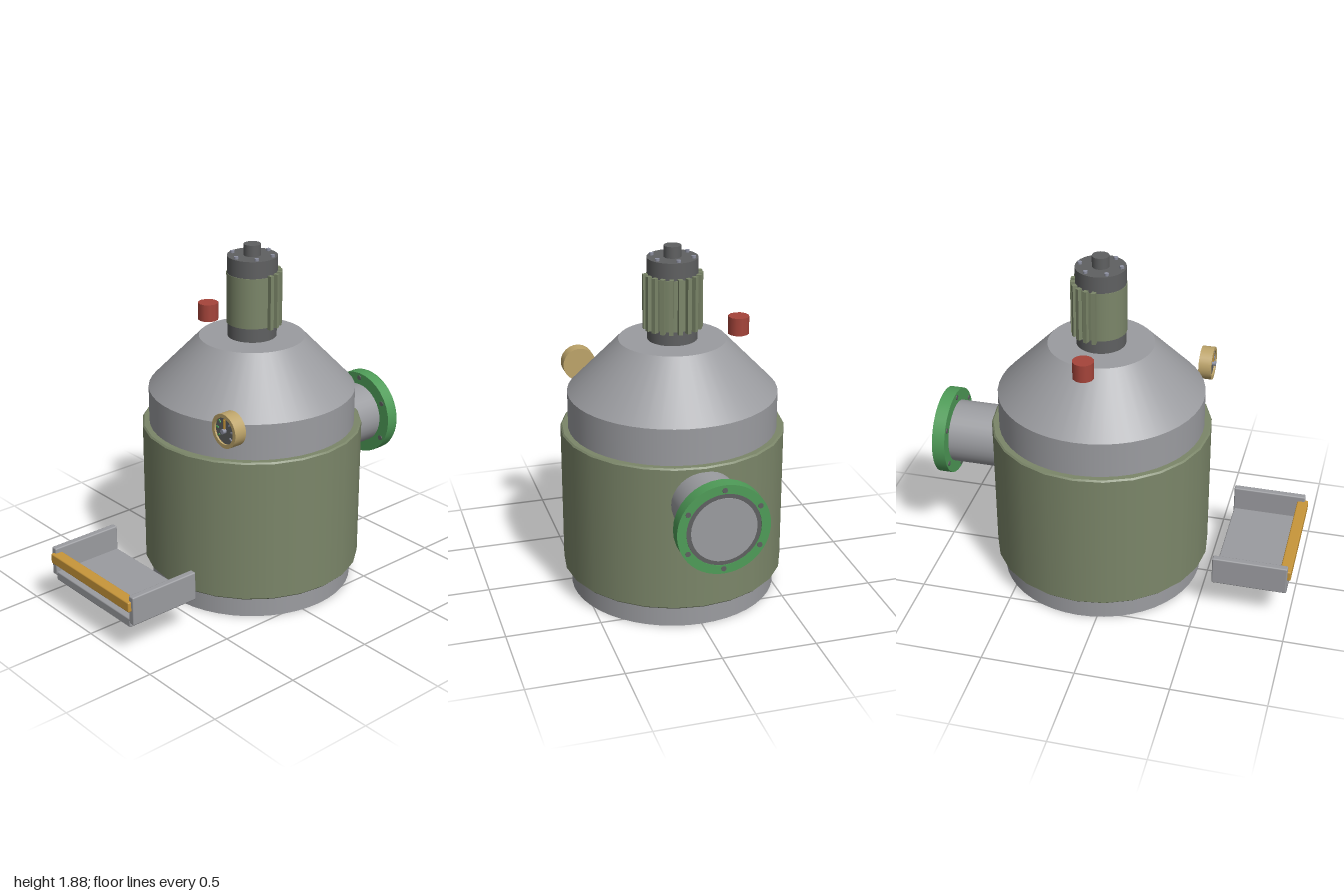
import * as THREE from 'three';
import { RoundedBoxGeometry } from 'three/addons/geometries/RoundedBoxGeometry.js';

const mat = (name, color) => new THREE.MeshStandardMaterial({ name, color });

export function createModel() {
  const steel = mat('steel', 0x9b9ca0);
  const olive = mat('olive', 0x7b8669);
  const dark = mat('darkGrey', 0x5f6061);
  const green = mat('flangeGreen', 0x4f9c58);
  const red = mat('red', 0xa5443a);
  const brass = mat('brass', 0xbda46a);
  const amber = mat('amber', 0xc8963a);
  const pale = mat('boltGrey', 0x8d90a0);

  const model = new THREE.Group();
  model.name = 'processVessel';
  const group = (name, x, y, z) => {
    const g = new THREE.Group();
    g.name = name;
    g.position.set(x, y, z);
    model.add(g);
    return g;
  };
  const add = (parent, name, geo, m, x = 0, y = 0, z = 0) => {
    const mesh = new THREE.Mesh(geo, m);
    mesh.name = name;
    mesh.position.set(x, y, z);
    parent.add(mesh);
    return mesh;
  };
  // upright cylinder between two heights
  const cyl = (parent, name, m, r0, r1, y0, y1, sides = 32) =>
    add(parent, name, new THREE.CylinderGeometry(r1, r0, y1 - y0, sides), m, 0, (y0 + y1) / 2, 0);
  // cylinder along z, centred on its group
  const cylZ = (parent, name, m, r, z0, z1, sides = 32, x = 0, y = 0) =>
    add(parent, name, new THREE.CylinderGeometry(r, r, z1 - z0, sides).rotateX(Math.PI / 2), m, x, y, (z0 + z1) / 2);
  // flat-sided ring with a square section, along z
  const ringZ = (parent, name, m, rIn, rOut, z0, z1, sides = 32) => {
    const shape = new THREE.Shape().absarc(0, 0, rOut, 0, Math.PI * 2);
    shape.holes.push(new THREE.Path().absarc(0, 0, rIn, 0, Math.PI * 2, true));
    const geo = new THREE.ExtrudeGeometry(shape, { depth: z1 - z0, bevelEnabled: false, curveSegments: sides });
    return add(parent, name, geo, m, 0, 0, z0);
  };

  // vessel: shell, sloping shoulder and insulating jacket
  const vessel = group('vessel', 0, 0, -0.105);
  cyl(vessel, 'shell', steel, 0.55, 0.55, 0, 1.105, 48);
  cyl(vessel, 'shoulder', steel, 0.55, 0.28, 1.105, 1.385, 48);
  cyl(vessel, 'jacketBottomEdge', olive, 0.582, 0.59, 0.12, 0.128, 24);
  cyl(vessel, 'jacket', olive, 0.59, 0.59, 0.128, 0.902, 24);
  cyl(vessel, 'jacketTopEdge', olive, 0.59, 0.582, 0.902, 0.91, 24);

  // motor with cooling fins round the rear half
  const motor = group('motor', 0, 0, -0.105);
  cyl(motor, 'motorBase', dark, 0.13, 0.13, 1.38, 1.46);
  cyl(motor, 'motorBody', olive, 0.135, 0.135, 1.46, 1.73);
  cyl(motor, 'motorCap', dark, 0.132, 0.132, 1.73, 1.82);
  cyl(motor, 'motorShaft', dark, 0.045, 0.045, 1.82, 1.88, 20);
  for (let i = 0; i < 11; i++) {
    const a = (i / 10) * Math.PI;
    const fin = add(motor, 'coolingFin', new THREE.BoxGeometry(0.035, 0.29, 0.022), olive,
      Math.cos(a) * 0.139, 1.595, -Math.sin(a) * 0.139);
    fin.rotation.y = a;
  }
  for (let i = 0; i < 6; i++) {
    const a = (i / 6) * Math.PI * 2;
    const bolt = cyl(motor, 'capBolt', pale, 0.012, 0.012, 1.815, 1.832, 8);
    bolt.position.x = Math.sin(a) * 0.11;
    bolt.position.z = Math.cos(a) * 0.11;
  }

  // red knob beside the motor
  const knob = group('knob', -0.36, 0, -0.105);
  cyl(knob, 'knobCap', red, 0.056, 0.056, 1.375, 1.47, 12);

  // rear outlet pipe with a bolted flange
  const outlet = group('outlet', 0, 0.715, 0);
  cylZ(outlet, 'outletPipe', steel, 0.17, -0.95, -0.55);
  cylZ(outlet, 'flange', green, 0.237, -0.993, -0.927);
  ringZ(outlet, 'flangeFace', green, 0.19, 0.237, -0.997, -0.992);
  cylZ(outlet, 'gasket', dark, 0.19, -0.995, -0.99);
  cylZ(outlet, 'outletCover', steel, 0.168, -0.998, -0.99);
  for (let i = 0; i < 6; i++) {
    const a = (i / 6) * Math.PI * 2;
    cylZ(outlet, 'flangeBolt', dark, 0.014, -1, -0.922, 8, Math.sin(a) * 0.21, Math.cos(a) * 0.21);
  }

  // pressure gauge
  const gauge = group('gauge', 0.39, 1.11, 0);
  cylZ(gauge, 'gaugeCase', brass, 0.09, 0.355, 0.41);
  ringZ(gauge, 'gaugeRim', brass, 0.07, 0.09, 0.41, 0.424);
  cylZ(gauge, 'gaugeDial', dark, 0.07, 0.408, 0.414);
  for (let i = 0; i < 7; i++) {
    const a = ((i - 3) / 3) * 2.2;
    const tick = add(gauge, 'dialTick', new THREE.BoxGeometry(0.008, 0.018, 0.006), i < 3 ? green : i === 3 ? amber : pale,
      Math.sin(a) * 0.056, Math.cos(a) * 0.056, 0.416);
    tick.rotation.z = -a;
  }
  add(gauge, 'needle', new THREE.BoxGeometry(0.011, 0.06, 0.006), amber, 0, 0.03, 0.42);
  cylZ(gauge, 'needleHub', pale, 0.013, 0.412, 0.435, 12);

  // loading tray in front
  const tray = group('tray', 0, 0, 0);
  const box = (name, m, w, h, d, x, y, z) =>
    add(tray, name, new RoundedBoxGeometry(w, h, d, 2, 0.007), m, x, y, z);
  box('trayFloor', steel, 0.64, 0.05, 0.395, 0, 0.2, 0.783);
  for (const s of [-1, 1]) box('traySide', steel, 0.037, 0.158, 0.4, s * 0.335, 0.28, 0.782);
  box('trayFrontBar', amber, 0.675, 0.056, 0.06, 0, 0.303, 0.97);

  return model;
}
